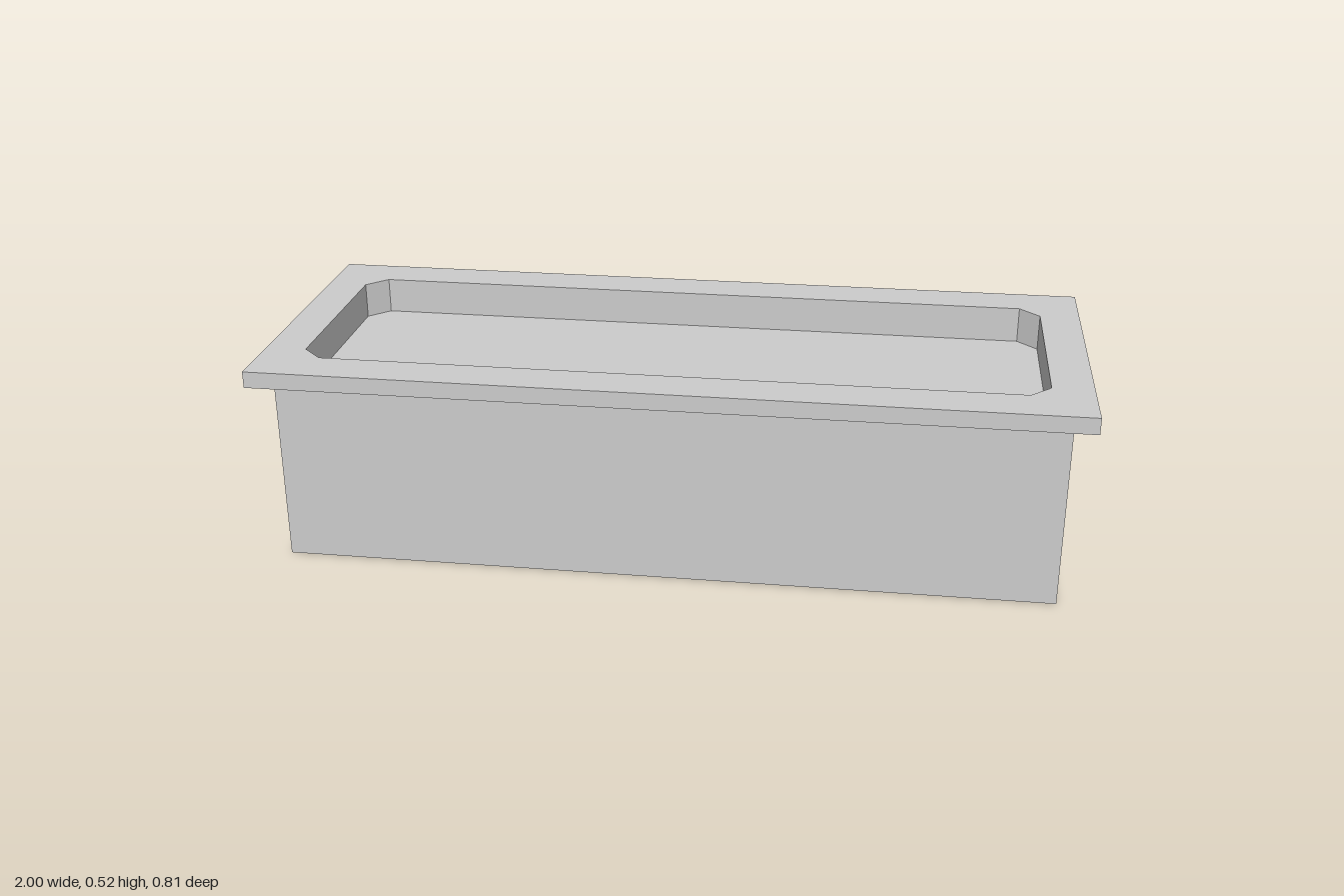
import * as THREE from 'three';

const TOP = 0.516, RIM_BOTTOM = 0.475, FLOOR = 0.425;
const RIM = [1, 0.403], BODY = [0.95, 0.34], BASIN = [0.9, 0.29];
const CHAMFER = 0.05;

// Counter-clockwise rectangle outline with cut corners
function chamferedOutline([w, d], c) {
  return [
    [w, c - d], [w, d - c], [w - c, d], [c - w, d],
    [-w, d - c], [-w, c - d], [c - w, -d], [w - c, -d],
  ].map(([x, y]) => new THREE.Vector2(x, y));
}

// Inward-facing walls following an outline between two heights
function innerWalls(outline, y0, y1) {
  const pos = [];
  outline.forEach((a, i) => {
    const b = outline[(i + 1) % outline.length];
    const put = (p, y) => pos.push(p.x, y, -p.y);
    put(a, y0); put(a, y1); put(b, y1);
    put(a, y0); put(b, y1); put(b, y0);
  });
  const geometry = new THREE.BufferGeometry();
  geometry.setAttribute('position', new THREE.Float32BufferAttribute(pos, 3));
  geometry.computeVertexNormals();
  return geometry;
}

export function createModel() {
  const group = new THREE.Group();
  const material = new THREE.MeshStandardMaterial({ color: 0xcccccc, flatShading: true });
  const add = (name, geometry) => {
    const mesh = new THREE.Mesh(geometry, material);
    mesh.name = name;
    group.add(mesh);
  };
  const outline = chamferedOutline(BASIN, CHAMFER);

  // Box body, left open at the top where the rim and basin sit
  const body = new THREE.BoxGeometry(2 * BODY[0], RIM_BOTTOM, 2 * BODY[1]);
  const index = Array.from(body.index.array);
  index.splice(12, 6);
  body.setIndex(index);
  body.clearGroups();
  body.translate(0, RIM_BOTTOM / 2, 0);
  add('body', body);

  // Overhanging flat rim with the basin opening
  const [w, d] = RIM;
  const rimShape = new THREE.Shape([[-w, -d], [w, -d], [w, d], [-w, d]].map(p => new THREE.Vector2(...p)));
  rimShape.holes.push(new THREE.Path(outline.slice().reverse()));
  const rim = new THREE.ExtrudeGeometry(rimShape, { depth: TOP - RIM_BOTTOM, bevelEnabled: false });
  rim.rotateX(-Math.PI / 2).translate(0, RIM_BOTTOM, 0);
  add('rim', rim);

  // Shallow basin below the rim opening
  add('basinWalls', innerWalls(outline, FLOOR, RIM_BOTTOM));
  const floor = new THREE.ShapeGeometry(new THREE.Shape(outline));
  floor.rotateX(-Math.PI / 2).translate(0, FLOOR, 0);
  add('basinFloor', floor);

  return group;
}
